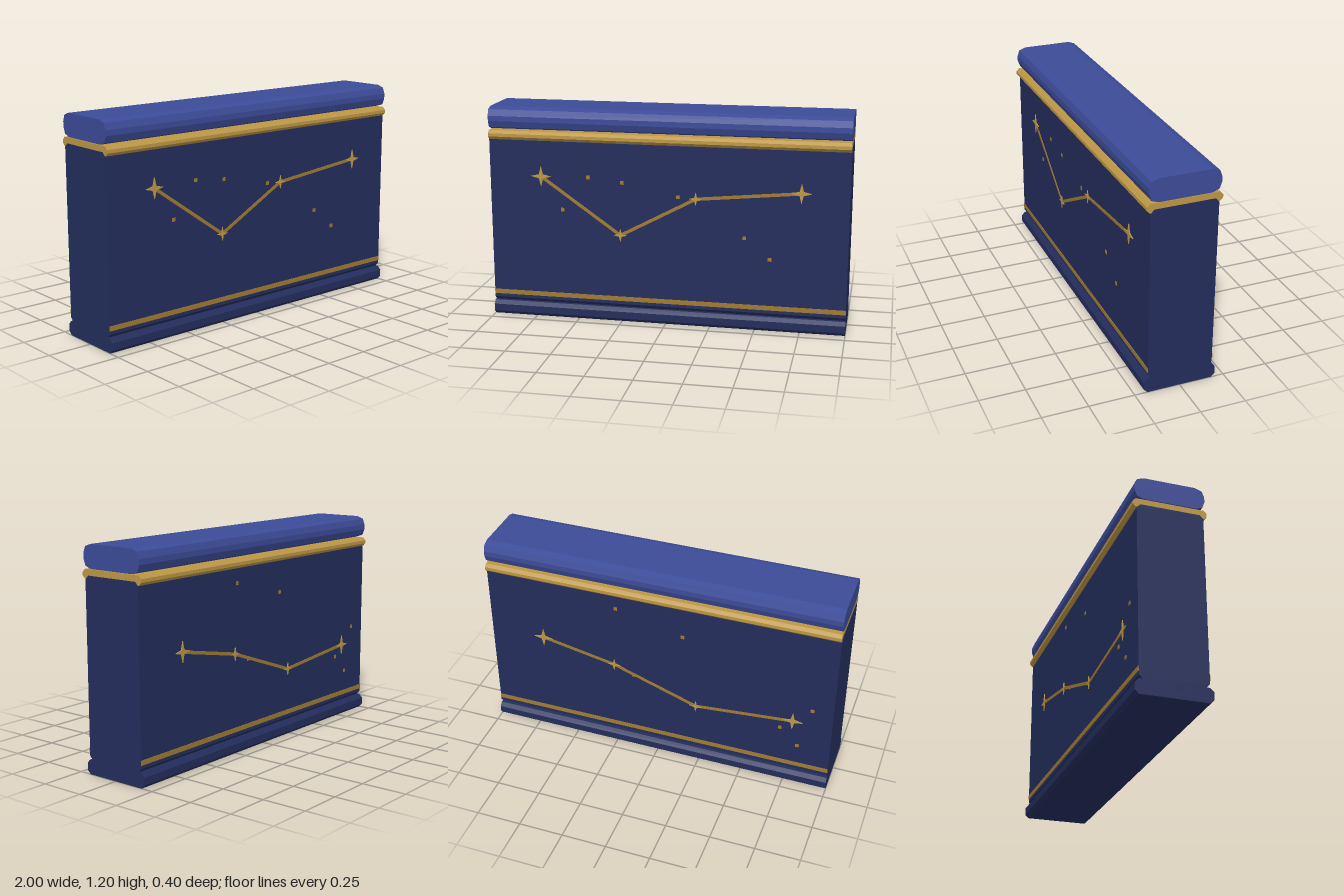
import * as THREE from 'three';

const paint = (name, color) => {
  const m = new THREE.MeshStandardMaterial({ color });
  m.name = name;
  return m;
};

// Extrude a mirrored half profile [z, y] (listed bottom to top) along x
function rail(name, half, length, material) {
  const mirrored = half.map(([z, y]) => [-z, y]).reverse();
  const shape = new THREE.Shape([...half, ...mirrored].map(p => new THREE.Vector2(...p)));
  const g = new THREE.ExtrudeGeometry(shape, { depth: length, bevelEnabled: false });
  g.translate(0, 0, -length / 2).rotateY(Math.PI / 2);
  const mesh = new THREE.Mesh(g, material);
  mesh.name = name;
  return mesh;
}

// Chamfered rectangular half profile
const chamfered = (w, y0, y1, c) => [[w - c, y0], [w, y0 + c], [w, y1 - c], [w - c, y1]];

// Thin plate lying on the wall face
function plate(name, w, h, x, y, material, angle = 0) {
  const mesh = new THREE.Mesh(new THREE.BoxGeometry(w, h, 0.004), material);
  mesh.position.set(x, y, 0.181);
  mesh.rotation.z = angle;
  mesh.name = name;
  return mesh;
}

// Four-pointed star
function star(x, y, r, material) {
  const pts = [];
  for (let i = 0; i < 8; i++) {
    const a = i * Math.PI / 4, d = i % 2 ? r * 0.28 : r;
    pts.push(new THREE.Vector2(Math.cos(a) * d, Math.sin(a) * d));
  }
  const g = new THREE.ExtrudeGeometry(new THREE.Shape(pts), { depth: 0.005, bevelEnabled: false });
  const mesh = new THREE.Mesh(g, material);
  mesh.position.set(x, y, 0.18);
  mesh.name = 'star';
  return mesh;
}

// Trim strip, constellation and loose stars for one wall face
function faceDecoration(name, stars, dots, gold, darkGold) {
  const group = new THREE.Group();
  group.name = name;
  group.add(plate('lowerStrip', 2, 0.026, 0, 0.132, darkGold));
  stars.forEach(([x, y, r], i) => {
    group.add(star(x, y, r, gold));
    if (i === 0) return;
    const [px, py] = stars[i - 1], dx = x - px, dy = y - py;
    group.add(plate('constellationLine', Math.hypot(dx, dy), 0.018,
      (x + px) / 2, (y + py) / 2, darkGold, Math.atan2(dy, dx)));
  });
  dots.forEach(([x, y]) => group.add(plate('smallStar', 0.02, 0.02, x, y, darkGold)));
  return group;
}

export function createModel() {
  const navy = paint('navy', 0x232d5c);
  const blue = paint('blue', 0x3c4b98);
  const gold = paint('gold', 0xbd9745);
  const darkGold = paint('darkGold', 0xa07a32);

  const model = new THREE.Group();
  model.name = 'wallSegment';

  // Wall, plinth, gold moulding and rounded coping
  model.add(
    rail('plinth', chamfered(0.2, 0, 0.08, 0.02), 2, navy),
    rail('wallBody', chamfered(0.18, 0.08, 1.04, 0.02), 2, navy),
    rail('goldMoulding', chamfered(0.2, 1.022, 1.072, 0.016), 1.998, gold),
    rail('coping', [[0.14, 1.075], [0.177, 1.088], [0.19, 1.123],
      [0.19, 1.152], [0.177, 1.187], [0.14, 1.2]], 2, blue)
  );

  // Front face
  model.add(faceDecoration('frontConstellation',
    [[-0.705, 0.82, 0.058], [-0.255, 0.503, 0.038], [0.168, 0.73, 0.038], [0.742, 0.787, 0.057]],
    [[-0.585, 0.635], [-0.435, 0.825], [-0.243, 0.803], [0.07, 0.737], [0.437, 0.525], [0.578, 0.41]],
    gold, darkGold));

  // Back face, laid out as seen from behind
  const back = faceDecoration('backConstellation',
    [[-0.683, 0.642, 0.057], [-0.256, 0.557, 0.038], [0.226, 0.387, 0.038], [0.78, 0.435, 0.057]],
    [[-0.238, 0.941], [0.146, 0.844], [-0.14, 0.511], [0.884, 0.533], [0.713, 0.372], [0.817, 0.268]],
    gold, darkGold);
  back.rotation.y = Math.PI;
  model.add(back);

  return model;
}
